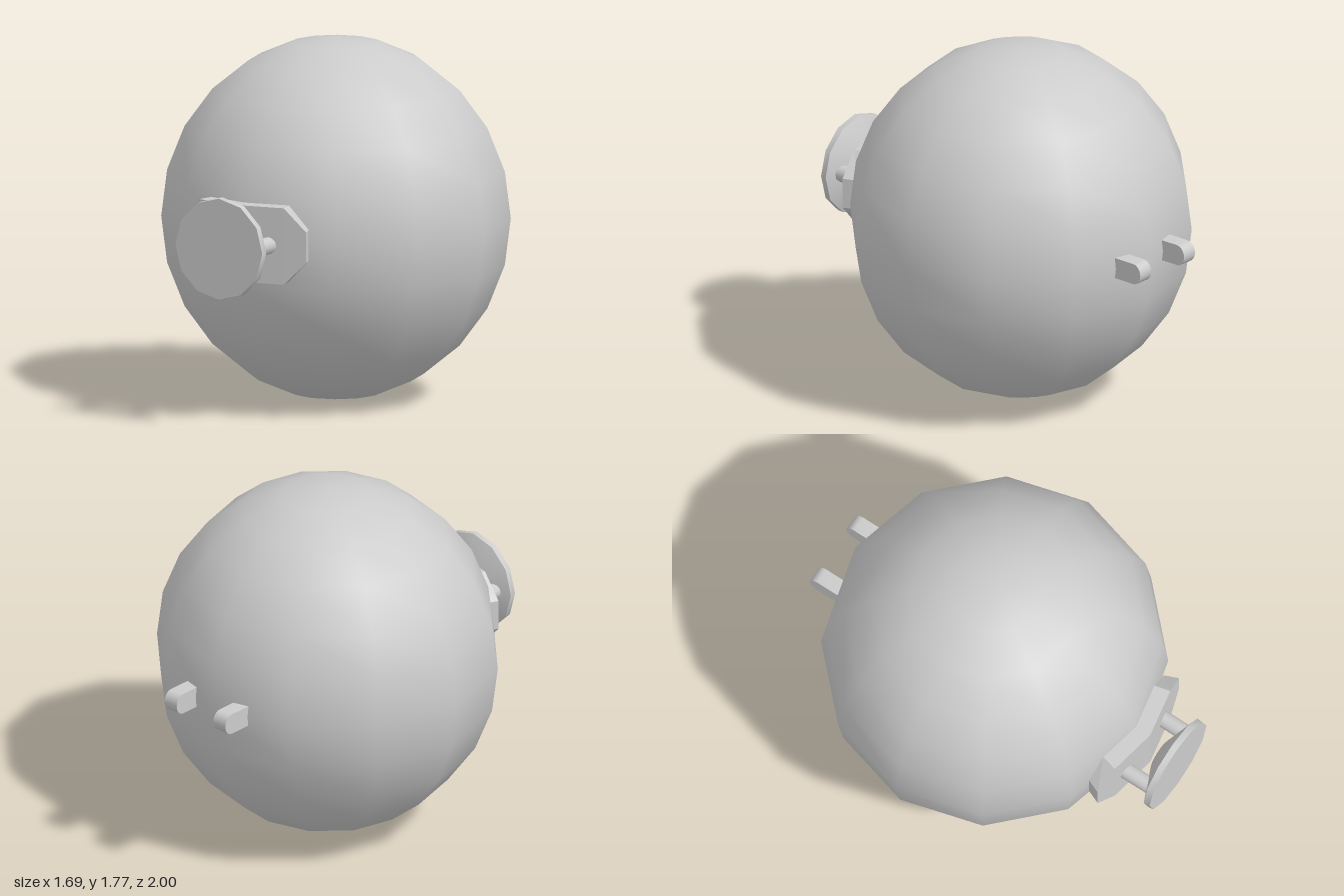
import * as THREE from 'three';
import { toCreasedNormals } from 'three/addons/utils/BufferGeometryUtils.js';

const MID = 0.885; // height of the body's centre

export function createModel() {
  const model = new THREE.Group();
  const smooth = new THREE.MeshStandardMaterial({ color: 0xcccccc });
  const flat = new THREE.MeshStandardMaterial({ color: 0xcccccc, flatShading: true });

  const add = (name, geometry, material = smooth) => {
    const mesh = new THREE.Mesh(geometry, material);
    mesh.name = name;
    model.add(mesh);
    return mesh;
  };

  // Round body, slightly taller than wide
  const body = add('body', new THREE.SphereGeometry(1, 12, 12));
  body.scale.set(0.845, 0.883, 0.835);
  body.position.set(0, MID, -0.062);

  // Eight-sided front plate: a box of five columns bent around the body
  const columns = [ // half width, half height, front z, back z
    { x: 0, h: 0.187, front: 0.84, back: 0.76 },
    { x: 0.24, h: 0.187, front: 0.795, back: 0.715 },
    { x: 0.352, h: 0.075, front: 0.77, back: 0.702 },
  ];
  const plate = new THREE.BoxGeometry(4, 2, 2, 4, 1, 1);
  const p = plate.attributes.position;
  for (let i = 0; i < p.count; i++) {
    const side = Math.round(p.getX(i));
    const c = columns[Math.abs(side)];
    const isFront = p.getZ(i) > 0;
    p.setXYZ(
      i,
      Math.sign(side) * c.x * (isFront ? 1 : 0.92),
      MID + 0.008 + Math.sign(p.getY(i)) * c.h,
      isFront ? c.front : c.back
    );
  }
  add('frontPlate', plate, flat);

  // Flared front disc, turned around the z axis
  const profile = [[0, 0.895], [0.08, 0.895], [0.25, 0.968], [0.247, 1], [0, 1]]
    .map(([r, z]) => new THREE.Vector2(r, z));
  const disc = new THREE.LatheGeometry(profile, 12);
  disc.rotateX(Math.PI / 2);
  disc.translate(0, MID + 0.003, 0);
  add('frontDisc', toCreasedNormals(disc, 0.6));

  // Rounded tab outline, seen from the side
  const tab = new THREE.Shape();
  tab.moveTo(0.78, -0.052);
  tab.lineTo(0.955, -0.052);
  tab.absellipse(0.955, 0, 0.045, 0.052, -Math.PI / 2, Math.PI / 2, false);
  tab.lineTo(0.78, 0.052);
  tab.closePath();

  for (const side of [-1, 1]) {
    const label = side > 0 ? 'left' : 'right';

    // Pin joining the disc to the plate
    const pin = add(label + 'Pin', new THREE.CylinderGeometry(0.042, 0.042, 0.18, 12));
    pin.rotation.x = Math.PI / 2;
    pin.position.set(side * 0.16, MID + 0.007, 0.87);

    // Tab on the back
    const geometry = new THREE.ExtrudeGeometry(tab, { depth: 0.08, bevelEnabled: false, curveSegments: 6 });
    geometry.translate(0, 0, -0.04);
    geometry.rotateY(Math.PI / 2);
    const back = add(label + 'BackTab', toCreasedNormals(geometry, 0.7));
    back.position.set(side * 0.16, MID + 0.005, 0);
  }
  return model;
}
